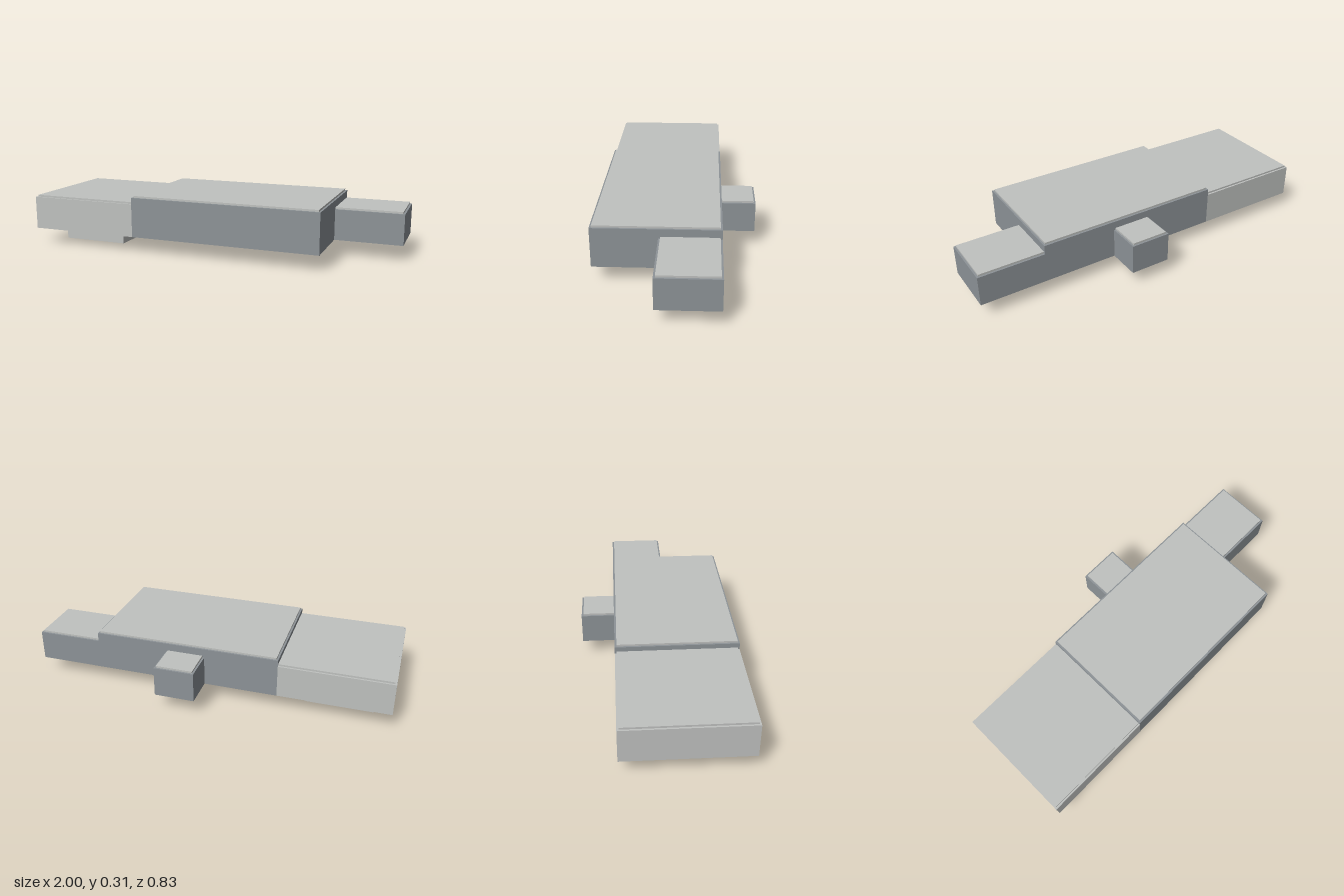
import * as THREE from 'three';

export function createModel() {
  const model = new THREE.Group();
  const lightGrey = new THREE.MeshStandardMaterial({ color: 0xc0c2c0 });
  lightGrey.name = 'lightGrey';
  const slateGrey = new THREE.MeshStandardMaterial({ color: 0x8e9498 });
  slateGrey.name = 'slateGrey';

  // Box given by its extents along each axis
  function block(name, material, [x0, x1], [y0, y1], [z0, z1]) {
    const mesh = new THREE.Mesh(new THREE.BoxGeometry(x1 - x0, y1 - y0, z1 - z0), material);
    mesh.position.set((x0 + x1) / 2, (y0 + y1) / 2, (z0 + z1) / 2);
    mesh.name = name;
    model.add(mesh);
  }

  const floor = 0.085;
  const inset = 0.01;

  // Building volumes, each with a thin roof slab set in from its free edges
  const volumes = [
    { name: 'mainHall', material: slateGrey, x: [-0.39, 0.64], top: 0.3, z: [-0.232, 0.415], roofX: [-0.38, 0.63] },
    { name: 'rightWing', material: lightGrey, x: [-1, -0.39], top: 0.265, z: [-0.232, 0.415], roofX: [-0.99, -0.39] },
    { name: 'leftWing', material: slateGrey, x: [0.64, 1], top: 0.25, z: [-0.232, 0.08], roofX: [0.64, 0.99] },
    { name: 'rearAnnex', material: slateGrey, x: [0.015, 0.235], top: 0.25, z: [-0.415, -0.232], roofX: [0.025, 0.225], roofZ: [-0.405, -0.232] },
  ];
  for (const v of volumes) {
    block(v.name, v.material, v.x, [floor, v.top], v.z);
    const roofZ = v.roofZ ?? [v.z[0] + inset, v.z[1] - inset];
    block(v.name + 'Roof', lightGrey, v.roofX, [v.top, v.top + 0.01], roofZ);
  }

  // Plinth below the right wing
  block('basement', lightGrey, [-0.9, -0.53], [0, floor], [-0.11, 0.265]);

  return model;
}
